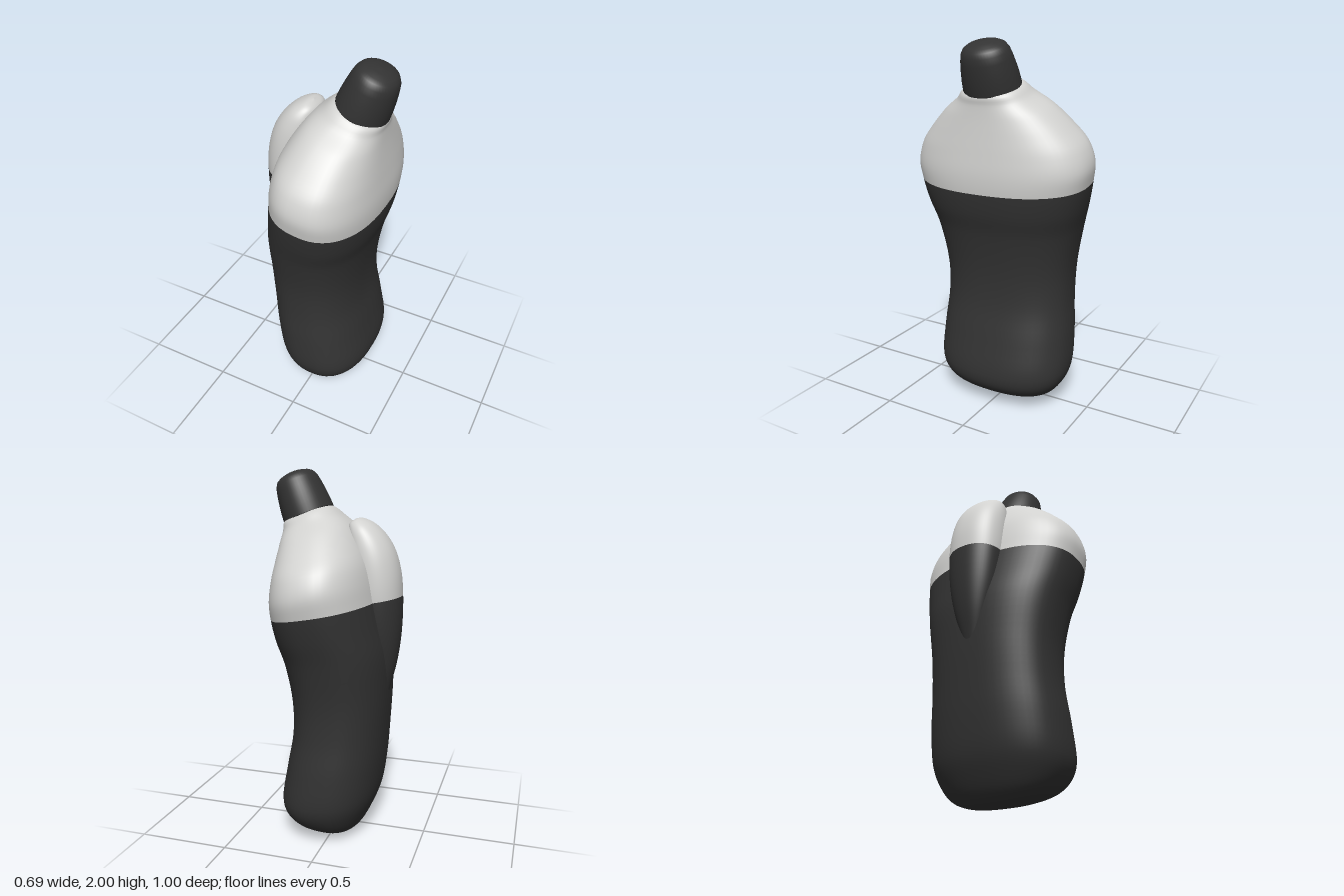
import * as THREE from 'three';

const SIDES = 56, STEPS = 5;

// Lofts tilted, rounded sections: [leftX, leftY, rightX, rightY, halfDepth], bottom to top.
// Sections below paintIndex use material 0, those above use material 1.
function loft(sections, paintIndex, power) {
  const left = new THREE.CatmullRomCurve3(sections.map(s => new THREE.Vector3(s[0], s[1], s[4])));
  const right = new THREE.CatmullRomCurve3(sections.map(s => new THREE.Vector3(s[2], s[3], 0)));
  const rows = (sections.length - 1) * STEPS;
  const pos = [], index = [];
  const soften = v => Math.sign(v) * Math.pow(Math.abs(v), 2 / power);
  for (let i = 0; i <= rows; i++) {
    const l = left.getPoint(i / rows), r = right.getPoint(i / rows);
    for (let j = 0; j < SIDES; j++) {
      const t = (j / SIDES) * Math.PI * 2;
      const k = (soften(Math.cos(t)) + 1) / 2;
      pos.push(l.x + (r.x - l.x) * k, l.y + (r.y - l.y) * k, Math.max(l.z, 0) * soften(Math.sin(t)));
    }
  }
  for (let i = 0; i < rows; i++) {
    for (let j = 0; j < SIDES; j++) {
      const a = i * SIDES + j, b = i * SIDES + (j + 1) % SIDES;
      index.push(a, a + SIDES, b, b, a + SIDES, b + SIDES);
    }
  }
  const geo = new THREE.BufferGeometry();
  geo.setAttribute('position', new THREE.Float32BufferAttribute(pos, 3));
  geo.setIndex(index);
  const split = paintIndex * STEPS * SIDES * 6;
  geo.addGroup(0, split, 0);
  geo.addGroup(split, index.length - split, 1);
  geo.computeVertexNormals();
  return geo;
}

export function createModel() {
  const model = new THREE.Group();
  model.name = 'bottle';
  const dark = new THREE.MeshStandardMaterial({ color: 0x333333 });
  dark.name = 'charcoal';
  const light = new THREE.MeshStandardMaterial({ color: 0xd2d2d0 });
  light.name = 'light grey';

  const add = (name, geo, mat) => {
    const mesh = new THREE.Mesh(geo, mat);
    mesh.name = name;
    model.add(mesh);
    return mesh;
  };

  // Waisted body, leaning shoulders, dark below the sloping paint line
  add('body', loft([
    [0.01, 0.01, 0.01, 0.01, 0],
    [-0.085, 0.012, 0.1, 0.03, 0.16],
    [-0.15, 0.055, 0.22, 0.08, 0.285],
    [-0.2, 0.15, 0.278, 0.138, 0.355],
    [-0.235, 0.25, 0.295, 0.21, 0.386],
    [-0.26, 0.42, 0.265, 0.4, 0.385],
    [-0.275, 0.62, 0.23, 0.6, 0.37],
    [-0.285, 0.83, 0.23, 0.78, 0.377],
    [-0.283, 1.05, 0.265, 1.0, 0.42],
    [-0.258, 1.2, 0.3, 1.12, 0.46],
    [-0.235, 1.33, 0.32, 1.235, 0.488],
    [-0.215, 1.44, 0.324, 1.33, 0.5],
    [-0.19, 1.53, 0.315, 1.44, 0.467],
    [-0.145, 1.62, 0.305, 1.54, 0.385],
    [-0.085, 1.705, 0.298, 1.62, 0.295],
    [-0.02, 1.765, 0.295, 1.68, 0.205],
    [0.05, 1.815, 0.295, 1.725, 0.15],
    [0.17, 1.8, 0.19, 1.8, 0],
  ], 10, 2.4), [dark, light]);

  // Tapered grip swelling out of the side
  add('grip', loft([
    [-0.255, 0.7, -0.255, 0.7, 0],
    [-0.288, 0.84, -0.2, 0.83, 0.055],
    [-0.325, 1.0, -0.15, 0.97, 0.105],
    [-0.344, 1.16, -0.1, 1.12, 0.143],
    [-0.346, 1.35, -0.07, 1.302, 0.164],
    [-0.333, 1.48, -0.06, 1.42, 0.165],
    [-0.3, 1.59, -0.058, 1.52, 0.157],
    [-0.25, 1.67, -0.058, 1.6, 0.142],
    [-0.19, 1.725, -0.058, 1.67, 0.118],
    [-0.13, 1.752, -0.06, 1.72, 0.075],
    [-0.095, 1.752, -0.095, 1.752, 0],
  ], 4, 2.2), [dark, light]);

  // Domed cap, tilted with the neck
  const profile = [[0, 0], [0.139, 0], [0.139, 0.004], [0.136, 0.05], [0.13, 0.1], [0.122, 0.15],
    [0.114, 0.185], [0.1, 0.209], [0.08, 0.222], [0.045, 0.233], [0, 0.237]];
  const cap = add('cap', new THREE.LatheGeometry(profile.map(p => new THREE.Vector2(...p)), 48), dark);
  cap.scale.z = 1.11;
  cap.position.set(0.172, 1.768, 0);
  cap.rotation.z = -0.372;

  return model;
}
